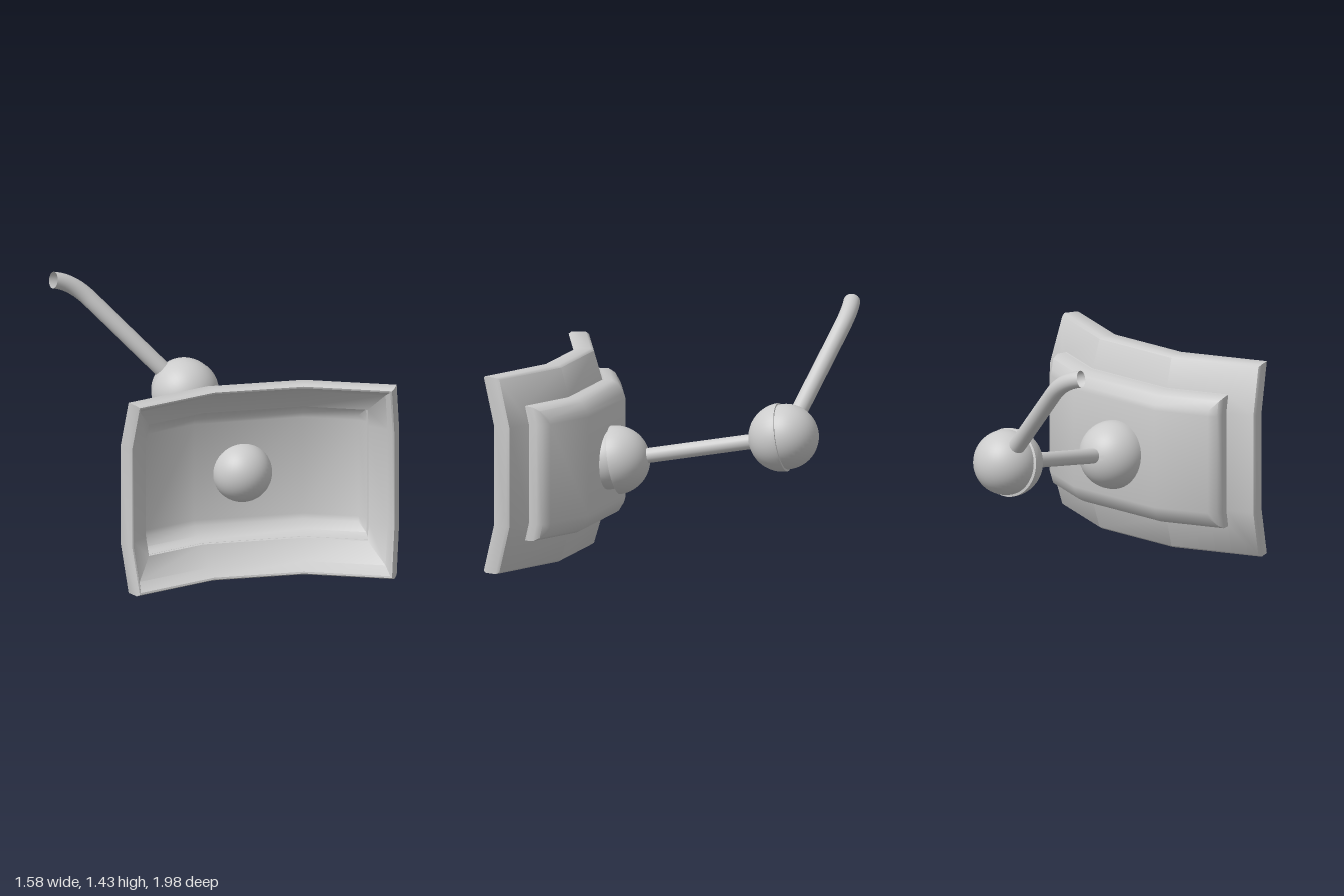
import * as THREE from 'three';
import { toCreasedNormals } from 'three/addons/utils/BufferGeometryUtils.js';

const V3 = (x, y, z) => new THREE.Vector3(x, y, z);
const grey = new THREE.MeshStandardMaterial({ color: 0xcccccc });
const greyDouble = new THREE.MeshStandardMaterial({ color: 0xcccccc, side: THREE.DoubleSide });

function add(group, name, geometry, material = grey) {
  const mesh = new THREE.Mesh(geometry, material);
  mesh.name = name;
  group.add(mesh);
  return mesh;
}

// Bent tray: nested rectangular rings laid along a plan polyline, capped front and back
function trayGeometry() {
  const height = 1.13;
  const plan = [[-0.76, 0.705], [-0.25, 0.605], [0.26, 0.705], [0.69, 0.99]].map(p => new THREE.Vector2(...p));
  const dirs = [0, 1, 2].map(i => plan[i + 1].clone().sub(plan[i]).normalize());
  const normals = dirs.map(d => new THREE.Vector2(d.y, -d.x));
  const miter = (a, b) => {
    const m = a.clone().add(b).normalize();
    return m.divideScalar(m.dot(a));
  };
  const outward = [normals[0], miter(normals[0], normals[1]), miter(normals[1], normals[2]), normals[2]];
  const bulge = y => 0.08 * Math.min(1, Math.min(y, height - y) / 0.28);

  // [inset from the edge, depth behind the front rim]
  const sections = [
    [0.25, 0.215], [0.2, 0.2], [0.18, 0.17], [0.178, 0.115],      // raised back
    [0.012, 0.115], [0, 0.1], [0, 0.02], [0.01, 0],               // flange and outer edge
    [0.02, 0], [0.06, 0.06], [0.175, 0.1],                        // inner slope
    [0.182, 0.15], [0.2, 0.18], [0.25, 0.2],                      // recess
  ];
  const positions = [], index = [];
  for (const [inset, depth] of sections) {
    const stations = plan.map(p => p.clone());
    stations[0].addScaledVector(dirs[0], inset);
    stations[3].addScaledVector(dirs[2], -inset);
    for (const y of [inset, 0.28, height - 0.28, height - inset]) {
      stations.forEach((p, i) => {
        const q = p.clone().addScaledVector(outward[i], depth + bulge(y));
        positions.push(q.x, y, q.y);
      });
    }
  }
  const ring = [0, 1, 2, 3, 7, 11, 15, 14, 13, 12, 8, 4];
  for (let s = 0; s < sections.length - 1; s++) {
    for (let k = 0; k < 12; k++) {
      const a = s * 16 + ring[k], b = s * 16 + ring[(k + 1) % 12];
      index.push(a, b, b + 16, a, b + 16, a + 16);
    }
  }
  const last = (sections.length - 1) * 16;
  for (let r = 0; r < 3; r++) {
    for (let c = 0; c < 3; c++) {
      const a = r * 4 + c, b = a + 1, d = a + 4, e = a + 5;
      index.push(a, e, b, a, d, e);
      index.push(last + a, last + b, last + e, last + a, last + e, last + d);
    }
  }
  const g = new THREE.BufferGeometry();
  g.setAttribute('position', new THREE.Float32BufferAttribute(positions, 3));
  g.setIndex(index);
  return toCreasedNormals(g, 0.75);
}

// Half-round socket with a flat lip, opening along +y
function socketGeometry(radius, inner) {
  const profile = [];
  for (let i = 0; i <= 16; i++) {
    const a = (i / 16) * Math.PI / 2;
    profile.push(new THREE.Vector2(radius * Math.sin(a), -radius * Math.cos(a)));
  }
  profile.push(new THREE.Vector2(inner, 0.004), new THREE.Vector2(inner - 0.01, -0.04));
  return toCreasedNormals(new THREE.LatheGeometry(profile, 40), 0.6);
}

export function createModel() {
  const group = new THREE.Group();
  group.name = 'pivotingTray';

  add(group, 'tray', trayGeometry(), greyDouble);

  // Two ball joints joined by a straight rod
  const frontSocket = V3(0.035, 0.545, 0.32), rearSocket = V3(0.115, 0.715, -0.648);
  const axis = frontSocket.clone().sub(rearSocket).normalize();
  const rearBall = V3(0.12, 0.72, -0.667);

  const joints = [
    ['front', V3(0.027, 0.545, 0.365), 0.17, frontSocket, axis],
    ['rear', rearBall, 0.186, rearSocket, axis.clone().negate()],
  ];
  for (const [label, centre, radius, socketCentre, opening] of joints) {
    add(group, label + 'Ball', new THREE.SphereGeometry(radius, 40, 28)).position.copy(centre);
    const socket = add(group, label + 'Socket', socketGeometry(0.196, radius - 0.005), greyDouble);
    socket.position.copy(socketCentre);
    socket.quaternion.setFromUnitVectors(V3(0, 1, 0), opening);
  }

  const rodStart = frontSocket.clone().addScaledVector(axis, -0.15);
  const rodEnd = rearSocket.clone().addScaledVector(axis, 0.15);
  const rod = new THREE.LineCurve3(rodStart, rodEnd);
  add(group, 'connectingRod', new THREE.TubeGeometry(rod, 1, 0.043, 24));

  // Upper arm with a curved open end
  const bendStart = V3(-0.36, 1.255, -0.91);
  const arm = new THREE.CurvePath();
  arm.add(new THREE.LineCurve3(rearBall, bendStart));
  arm.add(new THREE.QuadraticBezierCurve3(bendStart, V3(-0.45, 1.355, -0.955), V3(-0.567, 1.38, -0.945)));
  add(group, 'bentArm', new THREE.TubeGeometry(arm, 48, 0.048, 24), greyDouble);

  return group;
}
